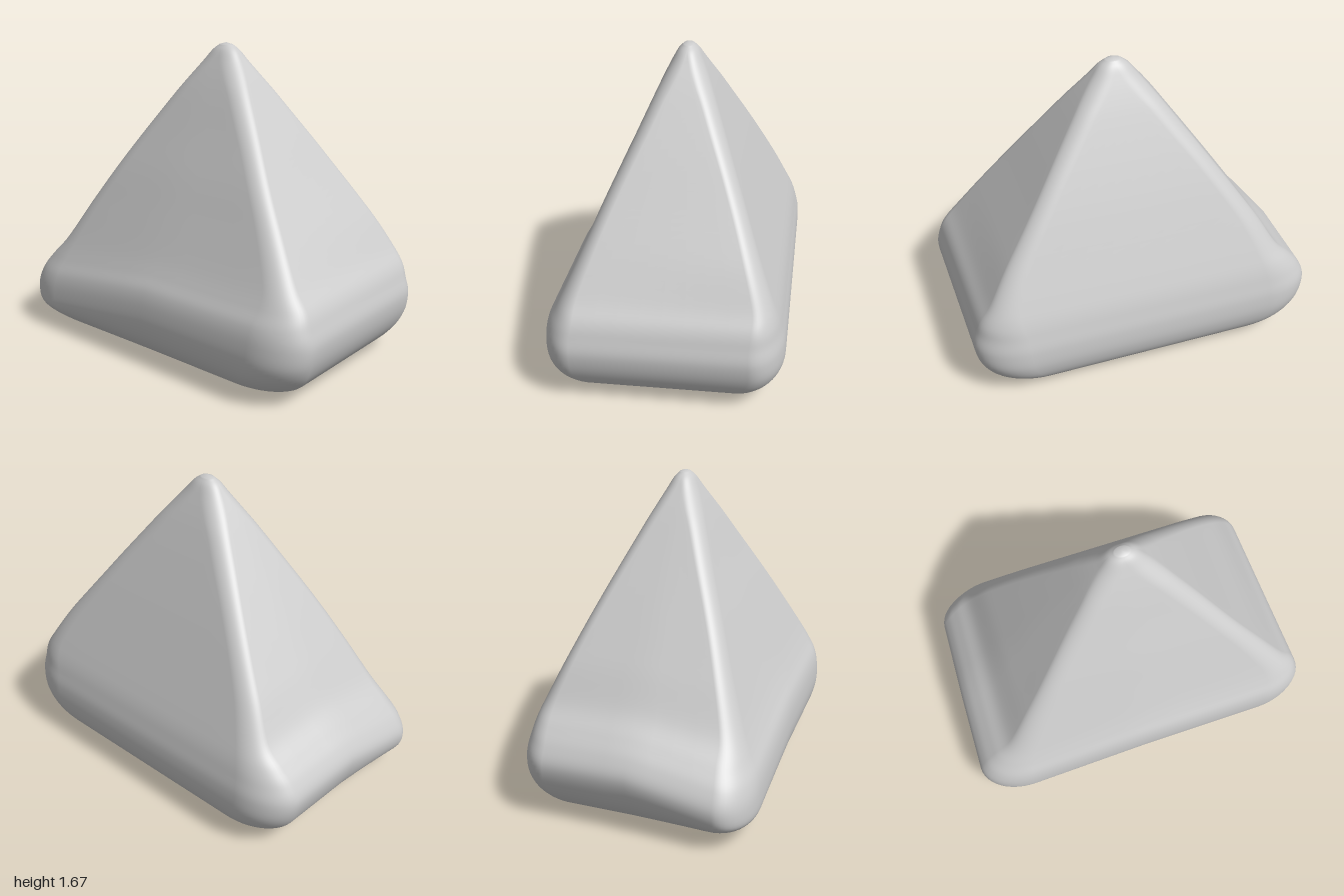
import * as THREE from 'three';

const { smoothstep, clamp } = THREE.MathUtils;

// Cross-sections: height, half width x, half depth z, centre x, centre z, corner roundness
const SECTIONS = [
  [0.00, 0.67, 0.40, -0.01, 0.00, 0.35],
  [0.045, 0.84, 0.52, 0.00, 0.00, 0.32],
  [0.12, 0.93, 0.59, 0.00, 0.00, 0.30],
  [0.22, 0.985, 0.622, 0.00, 0.00, 0.28],
  [0.33, 1.005, 0.622, 0.00, 0.00, 0.28],
  [0.42, 0.975, 0.603, 0.01, 0.00, 0.26],
  [0.50, 0.92, 0.57, 0.03, -0.01, 0.22],
  [0.60, 0.825, 0.525, 0.045, -0.015, 0.17],
  [0.80, 0.685, 0.438, 0.043, -0.017, 0.16],
  [1.00, 0.545, 0.352, 0.04, -0.018, 0.18],
  [1.20, 0.405, 0.262, 0.04, -0.02, 0.24],
  [1.40, 0.262, 0.172, 0.04, -0.02, 0.38],
  [1.50, 0.188, 0.125, 0.04, -0.02, 0.55],
  [1.58, 0.125, 0.085, 0.04, -0.02, 0.75],
  [1.635, 0.08, 0.055, 0.04, -0.02, 0.90],
  [1.665, 0.04, 0.028, 0.04, -0.02, 1.00],
];
const TOP = [0.04, 1.675, -0.02];

// Unit rounded square, counted from +x towards +z
function roundedSquare(f, arcSteps = 12, edgeSteps = 8) {
  const corners = [[1, 1], [-1, 1], [-1, -1], [1, -1]];
  const arcPoint = (k, s) => {
    const a = (k + s) * Math.PI / 2;
    return [corners[k][0] * (1 - f) + f * Math.cos(a), corners[k][1] * (1 - f) + f * Math.sin(a)];
  };
  const points = [];
  for (let k = 0; k < 4; k++) {
    for (let i = 0; i <= arcSteps; i++) points.push(arcPoint(k, i / arcSteps));
    const p = arcPoint(k, 1), q = arcPoint((k + 1) % 4, 0);
    for (let i = 1; i < edgeSteps; i++) {
      const t = i / edgeSteps;
      points.push([p[0] + (q[0] - p[0]) * t, p[1] + (q[1] - p[1]) * t]);
    }
  }
  return points;
}

function pyramidGeometry(rings = 90) {
  const spline = (a, b, c) => new THREE.CatmullRomCurve3(
    SECTIONS.map(s => new THREE.Vector3(s[a], s[b], s[c])), false, 'catmullrom', 0.5);
  const sizes = spline(0, 1, 2), offsets = spline(3, 4, 5);
  const positions = [], index = [];
  let n = 0;

  for (let i = 0; i <= rings; i++) {
    const { x: y, y: hx, z: hz } = sizes.getPoint(i / rings);
    const { x: cx, y: cz, z: f } = offsets.getPoint(i / rings);
    const outline = roundedSquare(Math.min(f, 1));
    n = outline.length;
    // The base narrows slightly towards the back
    const taper = 0.022 * (1 - smoothstep(y, 0.4, 0.8));
    for (const [u, v] of outline) {
      const x = cx + u * hx * (1 - taper + taper * v), z = cz + v * hz;
      // One front corner sags
      const sag = 0.13 * clamp(-x, 0, 1) * clamp(z / 0.62, 0, 1) * smoothstep(y, 0, 0.3);
      positions.push(x, Math.max(0, y - sag), z);
    }
  }

  // Sides
  for (let i = 0; i < rings; i++) {
    for (let j = 0; j < n; j++) {
      const k = (j + 1) % n;
      const a = i * n + j, b = i * n + k, c = b + n, d = a + n;
      index.push(a, d, b, b, d, c);
    }
  }
  // Flat underside and rounded tip
  const bottom = positions.length / 3, top = bottom + 1, last = rings * n;
  positions.push(0, 0, 0, ...TOP);
  for (let j = 0; j < n; j++) {
    const k = (j + 1) % n;
    index.push(bottom, j, k, top, last + k, last + j);
  }

  const geometry = new THREE.BufferGeometry();
  geometry.setAttribute('position', new THREE.Float32BufferAttribute(positions, 3));
  geometry.setIndex(index);
  geometry.computeVertexNormals();
  return geometry;
}

export function createModel() {
  const group = new THREE.Group();
  const body = new THREE.Mesh(pyramidGeometry(), new THREE.MeshStandardMaterial({ color: 0xcccccc }));
  body.name = 'roundedPyramid';
  group.add(body);
  return group;
}
